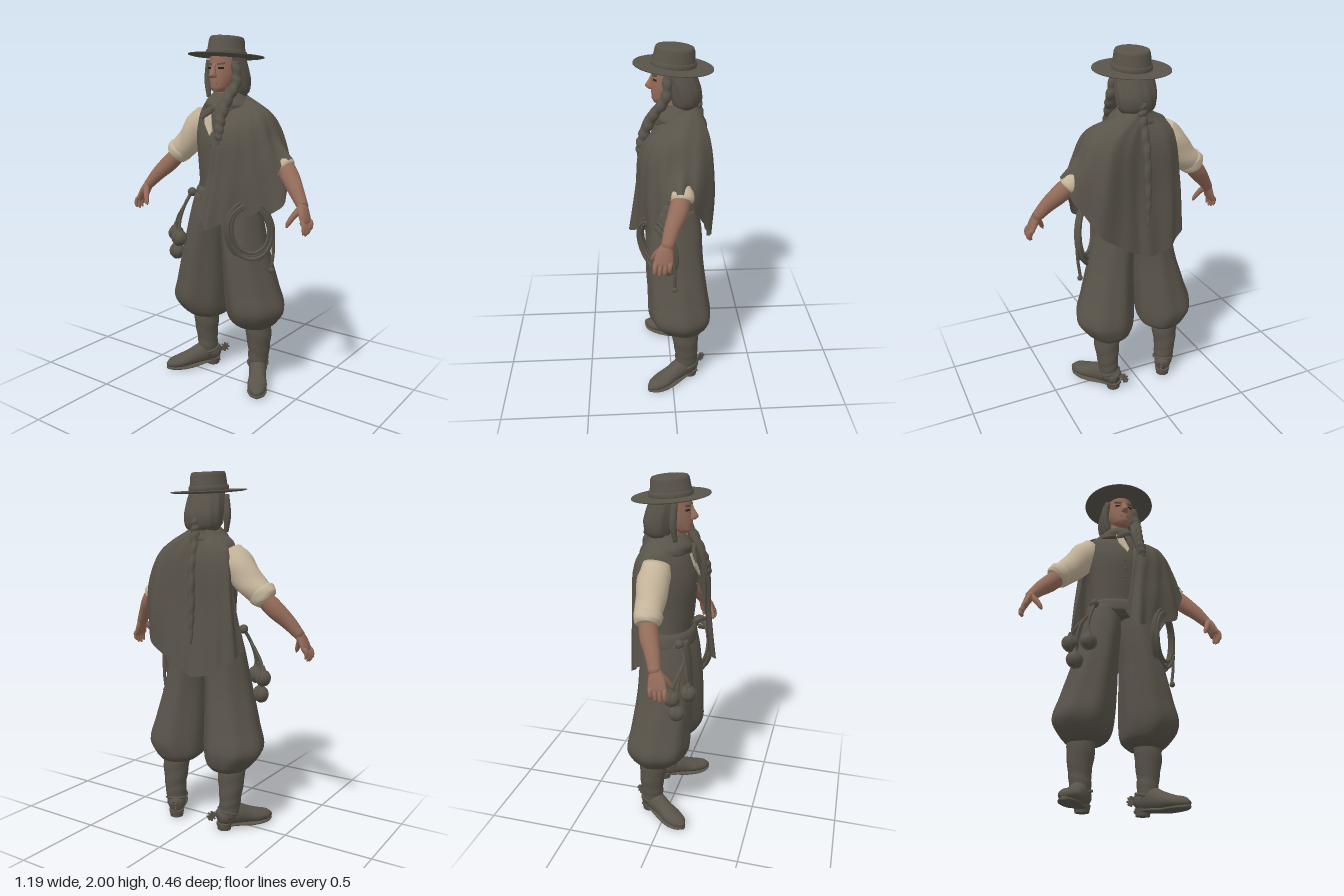
import * as THREE from 'three';

const V = (x, y, z) => new THREE.Vector3(x, y, z);
const mat = (name, color) => Object.assign(new THREE.MeshStandardMaterial({ color }), { name });

export function createModel() {
  const model = new THREE.Group();
  const dark = mat('dark cloth', 0x59544a);
  const skin = mat('skin', 0x946c5a);
  const shirt = mat('linen', 0xc5b59b);
  const black = mat('eye dark', 0x26221e);
  const darkOpen = mat('draped cloth', 0x59544a);
  darkOpen.side = THREE.DoubleSide;

  const add = (name, geo, m = dark, parent = model) => {
    const mesh = new THREE.Mesh(geo, m);
    mesh.name = name;
    parent.add(mesh);
    return mesh;
  };

  // Closed loft through [x, y, z, radiusU, radiusV]; upright keeps the rings level
  function loft(pts, { steps = 5, sides = 24, upright = false, ref = V(0, 0, 1), fold = () => 1 } = {}) {
    const path = new THREE.CatmullRomCurve3(pts.map(p => V(p[0], p[1], p[2])));
    const radii = new THREE.CatmullRomCurve3(pts.map((p, i) => V(p[3], p[4] ?? p[3], i)));
    const n = (pts.length - 1) * steps, pos = [], idx = [];
    for (let i = 0; i <= n; i++) {
      const t = i / n, c = path.getPoint(t), r = radii.getPoint(t);
      const T = upright ? V(0, 1, 0) : path.getTangent(t);
      const u = ref.clone().addScaledVector(T, -ref.dot(T)).normalize(), v = T.clone().cross(u);
      for (let j = 0; j < sides; j++) {
        const a = j / sides * Math.PI * 2, f = fold(a, t);
        const p = c.clone().addScaledVector(u, r.x * f * Math.cos(a)).addScaledVector(v, r.y * f * Math.sin(a));
        pos.push(p.x, p.y, p.z);
        if (i < n) {
          const k = (j + 1) % sides, A = i * sides;
          idx.push(A + j, A + k, A + sides + k, A + j, A + sides + k, A + sides + j);
        }
      }
    }
    const b = pos.length / 3, L = n * sides;
    for (const p of [pts[0], pts[pts.length - 1]]) pos.push(p[0], p[1], p[2]);
    for (let j = 0; j < sides; j++) {
      const k = (j + 1) % sides;
      idx.push(b, k, j, b + 1, L + j, L + k);
    }
    const g = new THREE.BufferGeometry();
    g.setAttribute('position', new THREE.Float32BufferAttribute(pos, 3));
    g.setIndex(idx);
    g.computeVertexNormals();
    return g;
  }
  const tube = (pts, r, closed = false, seg = 32) =>
    new THREE.TubeGeometry(new THREE.CatmullRomCurve3(pts, closed), seg, r, 8, closed);
  const ball = (name, x, y, z, r) => add(name, new THREE.SphereGeometry(r, 16, 12)).position.set(x, y, z);

  // Hat: brim and oval crown, tipped up at the front
  const hat = new THREE.Group();
  hat.name = 'hat';
  hat.position.set(0, 1.886, -0.015);
  hat.rotation.x = -0.088;
  model.add(hat);
  const lathe = pts => new THREE.LatheGeometry(pts.map(p => new THREE.Vector2(...p)), 48);
  add('brim', lathe([[0, -0.006], [0.12, -0.006], [0.19, -0.002], [0.21, 0.003], [0.209, 0.008], [0.18, 0.006], [0.1, 0.008]]), dark, hat);
  add('crown', lathe([[0.106, 0], [0.106, 0.022], [0.101, 0.03], [0.094, 0.09], [0.088, 0.104], [0.08, 0.107], [0, 0.105]]), dark, hat).scale.z = 1.1;
  add('hatBand', lathe([[0.106, 0.006], [0.109, 0.012], [0.108, 0.03], [0.102, 0.034]]), dark, hat).scale.z = 1.1;

  // Head and hair
  add('head', loft([[0, 1.7, 0.058, 0.028, 0.025], [0, 1.722, 0.038, 0.06, 0.048], [0, 1.77, 0, 0.1, 0.07],
    [0, 1.83, -0.015, 0.11, 0.08], [0, 1.9, -0.02, 0.108, 0.08]], { upright: true }), skin);
  add('neck', loft([[0, 1.55, -0.03, 0.07], [0, 1.65, -0.015, 0.058], [0, 1.75, -0.01, 0.056]], { upright: true }), skin);
  add('nose', loft([[0, 1.775, 0.1, 0.018, 0.02], [0, 1.79, 0.108, 0.024, 0.02], [0, 1.82, 0.1, 0.014, 0.012],
    [0, 1.85, 0.09, 0.008, 0.01]], { upright: true, sides: 12 }), skin);
  add('mouth', new THREE.BoxGeometry(0.04, 0.005, 0.008), black).position.set(0, 1.747, 0.092);
  for (const s of [-1, 1]) {
    const eye = add('eye', new THREE.BoxGeometry(0.03, 0.009, 0.008), black);
    eye.position.set(s * 0.037, 1.827, 0.082);
    eye.rotation.y = s * 0.4;
    const brow = add('eyebrow', new THREE.BoxGeometry(0.042, 0.009, 0.009), dark);
    brow.position.set(s * 0.038, 1.85, 0.084);
    brow.rotation.set(0, s * 0.4, s * 0.12);
  }
  add('hair', loft([[0, 1.665, -0.07, 0.06, 0.07], [0, 1.7, -0.075, 0.08, 0.1], [0, 1.76, -0.07, 0.092, 0.112],
    [0, 1.83, -0.05, 0.092, 0.108], [0, 1.9, -0.025, 0.09, 0.095]],
    { upright: true, sides: 56, fold: (a, t) => 1 + 0.025 * Math.cos(12 * a + 5 * t) }));
  const plait = { sides: 12, steps: 12, fold: (a, t) => 0.8 + 0.3 * Math.abs(Math.sin(t * 28 + 0.6 * Math.sin(a))) };
  add('frontBraid', loft([[0.085, 1.86, 0.02, 0.022], [0.1, 1.75, 0.03, 0.027], [0.085, 1.66, 0.09, 0.027],
    [0.075, 1.56, 0.14, 0.028], [0.085, 1.48, 0.165, 0.024], [0.095, 1.42, 0.17, 0.008]], plait));
  add('frontLock', loft([[0.07, 1.72, 0.05, 0.018], [0.055, 1.6, 0.13, 0.022], [0.065, 1.45, 0.168, 0.008]], { sides: 10 }));
  add('rightLock', loft([[-0.085, 1.87, 0.025, 0.018], [-0.098, 1.76, 0.02, 0.02], [-0.085, 1.67, 0.03, 0.012]], { sides: 12 }));
  add('backBraid', loft([[0, 1.74, -0.145, 0.022], [0, 1.66, -0.145, 0.026], [-0.005, 1.5, -0.188, 0.022],
    [-0.01, 1.25, -0.203, 0.018], [-0.01, 1.07, -0.21, 0.006]], plait));

  // Torso: vest, open collar, scarf and sash
  add('vest', loft([[0, 1.07, -0.02, 0.125, 0.18], [0, 1.17, -0.02, 0.125, 0.165], [0, 1.3, -0.02, 0.138, 0.168],
    [0, 1.45, -0.025, 0.15, 0.18], [0, 1.56, -0.04, 0.13, 0.182], [0, 1.62, -0.05, 0.095, 0.165], [0, 1.665, -0.05, 0.07, 0.09]],
    { upright: true, sides: 32 }));
  const opening = new THREE.Shape([[-0.05, 0.06], [-0.038, -0.01], [0.008, -0.075], [0.02, -0.05], [-0.01, 0.06]].map(p => new THREE.Vector2(...p)));
  const collar = add('shirtFront', new THREE.ExtrudeGeometry(opening, { depth: 0.008, bevelEnabled: false }), shirt);
  collar.position.set(-0.005, 1.54, 0.117);
  collar.rotation.x = -0.28;
  for (let i = 0; i < 5; i++) ball('button', -0.005, 1.42 - i * 0.055, 0.127 - i * 0.005, 0.006);
  add('scarf', loft([[0, 1.6, -0.03, 0.125, 0.135], [0, 1.635, -0.03, 0.13, 0.13], [0, 1.67, -0.03, 0.108, 0.1], [0, 1.695, -0.03, 0.08, 0.075]],
    { upright: true, sides: 40, fold: (a, t) => 1 + 0.03 * Math.sin(5 * a + 8 * t) }));
  ball('scarfKnot', 0.012, 1.615, 0.098, 0.026);
  for (const [x, y] of [[-0.055, 1.56], [0.045, 1.49]])
    add('scarfEnd', loft([[0.01, 1.62, 0.1, 0.012, 0.015], [x * 0.6, (1.62 + y) / 2, 0.122, 0.01, 0.02], [x, y, 0.137, 0.005, 0.008]], { sides: 10 }));
  add('sash', loft([[0, 1.08, -0.02, 0.135, 0.19], [0, 1.1, -0.02, 0.148, 0.196], [0, 1.15, -0.02, 0.143, 0.187], [0, 1.17, -0.02, 0.13, 0.175]],
    { upright: true, sides: 32 }));

  // Poncho: columns from the front edge round the left side to the right back edge
  // each column is [shoulder xyz, middle xyz, hem xyz]
  const columns = [
    [0.035, 1.47, 0.15, 0.01, 1.25, 0.17, -0.03, 1.04, 0.2],
    [0.09, 1.49, 0.16, 0.06, 1.25, 0.19, 0.04, 0.965, 0.23],
    [0.16, 1.52, 0.14, 0.16, 1.27, 0.17, 0.14, 1.02, 0.17],
    [0.22, 1.54, 0.1, 0.26, 1.31, 0.13, 0.3, 1.08, 0.12],
    [0.25, 1.57, 0.04, 0.32, 1.42, 0.06, 0.37, 1.27, 0.055],
    [0.26, 1.59, -0.04, 0.33, 1.455, -0.035, 0.415, 1.36, -0.03],
    [0.25, 1.57, -0.12, 0.33, 1.42, -0.12, 0.375, 1.24, -0.1],
    [0.19, 1.55, -0.19, 0.24, 1.3, -0.215, 0.26, 1.05, -0.2],
    [0.1, 1.54, -0.195, 0.11, 1.25, -0.2, 0.1, 0.94, -0.21],
    [0, 1.54, -0.18, 0, 1.25, -0.19, -0.02, 0.89, -0.215],
    [-0.11, 1.55, -0.185, -0.14, 1.25, -0.195, -0.15, 0.92, -0.205],
    [-0.18, 1.57, -0.14, -0.22, 1.3, -0.16, -0.245, 0.99, -0.155],
    [-0.185, 1.615, -0.05, -0.2, 1.38, -0.09, -0.255, 1.03, -0.06]];
  const rows = [0, 1, 2, 3].map(k => new THREE.CatmullRomCurve3(columns.map((c, i) => {
    const a = 0.7 + i / 12 * 3.9;
    return k ? V(...c.slice(k * 3 - 3, k * 3)) : V(0.1 * Math.sin(a), 1.665 - 0.025 * Math.cos(a), -0.04 + 0.1 * Math.cos(a));
  })));
  const NU = 120, NV = 20, pos = [], idx = [];
  for (let i = 0; i <= NU; i++) {
    const u = i / NU, line = new THREE.CatmullRomCurve3(rows.map(r => r.getPoint(u)));
    for (let j = 0; j <= NV; j++) {
      const t = j / NV, p = line.getPoint(t), out = V(p.x, 0, p.z + 0.03).normalize();
      p.addScaledVector(out, 0.007 * t * Math.sin(u * 75 + t * 2));
      pos.push(p.x, p.y, p.z);
      if (i < NU && j < NV) {
        const A = i * (NV + 1) + j, B = A + NV + 1;
        idx.push(A, A + 1, B + 1, A, B + 1, B);
      }
    }
  }
  const drape = new THREE.BufferGeometry();
  drape.setAttribute('position', new THREE.Float32BufferAttribute(pos, 3));
  drape.setIndex(idx);
  drape.computeVertexNormals();
  add('poncho', drape, darkOpen);

  for (const s of [-1, 1]) {
    const side = s > 0 ? 'left' : 'right';
    const m = pts => pts.map(([x, ...r]) => [s * x, ...r]);

    // Arm: sleeve, rolled cuff, forearm and hand; the left sleeve sits under the poncho
    add(side + 'Sleeve', loft(m(s < 0
      ? [[0.16, 1.56, -0.05, 0.072], [0.21, 1.5, -0.05, 0.086], [0.285, 1.405, -0.048, 0.079], [0.365, 1.335, -0.04, 0.068]]
      : [[0.22, 1.48, -0.04, 0.055], [0.29, 1.39, -0.04, 0.055], [0.36, 1.325, -0.04, 0.055]]),
      { fold: (a, t) => 1 + 0.03 * Math.sin(3 * a + 14 * t) }), shirt);
    add(side + 'Cuff', loft(m(s < 0
      ? [[0.335, 1.37, -0.04, 0.06], [0.347, 1.355, -0.04, 0.075], [0.375, 1.328, -0.038, 0.071], [0.388, 1.315, -0.036, 0.055]]
      : [[0.33, 1.345, -0.04, 0.052], [0.345, 1.33, -0.04, 0.062], [0.374, 1.31, -0.036, 0.062], [0.385, 1.3, -0.034, 0.052]]),
      { fold: (a, t) => 1 + 0.03 * Math.sin(4 * a + 9 * t) }), shirt);
    add(side + 'Forearm', loft(m([[0.36, 1.33, -0.04, 0.048], [0.42, 1.265, -0.015, 0.05], [0.48, 1.2, 0.02, 0.041],
      [0.54, 1.125, 0.05, 0.031, 0.028]])), skin);
    add(side + 'Palm', loft(m([[0.53, 1.14, 0.045, 0.03, 0.026], [0.55, 1.1, 0.06, 0.044, 0.022], [0.568, 1.055, 0.068, 0.048, 0.016],
      [0.572, 1.04, 0.07, 0.04, 0.01]])), skin);
    for (let i = 0; i < 4; i++) {
      const z = 0.032 + i * 0.025, drop = [0.02, 0.005, 0, 0.01][i];
      add(side + 'Finger', loft(m([[0.564, 1.06, z, 0.012], [0.58, 1.03 + drop, z + 0.003, 0.012],
        [0.582, 1.0 + drop, z + 0.006, 0.01], [0.576, 0.985 + drop, z + 0.006, 0.004]]), { sides: 10 }), skin);
    }
    add(side + 'Thumb', loft(m([[0.535, 1.12, 0.07, 0.02], [0.51, 1.08, 0.1, 0.016], [0.49, 1.04, 0.118, 0.012],
      [0.483, 1.022, 0.122, 0.004]]), { sides: 10 }), skin);

    // Baggy trouser leg gathered below the knee
    add(side + 'TrouserLeg', loft(m([[0.175, 0.375, -0.075, 0.06, 0.06], [0.175, 0.352, -0.075, 0.092, 0.085], [0.172, 0.385, -0.062, 0.142, 0.132],
      [0.19, 0.47, -0.048, 0.178, 0.166], [0.17, 0.6, -0.035, 0.172, 0.152], [0.138, 0.8, -0.02, 0.16, 0.125],
      [0.106, 1.0, -0.02, 0.148, 0.11], [0.09, 1.13, -0.02, 0.125, 0.095]]),
      { upright: true, sides: 56, fold: (a, t) => 1 + 0.028 * Math.sin(Math.PI * t) * Math.cos(7 * a + s * 2 * t) }));

    // Boot with heel, sole and spur, toes turned out
    add(side + 'BootShaft', loft(m([[0.188, 0.07, -0.085, 0.06, 0.05], [0.188, 0.14, -0.085, 0.065, 0.058], [0.192, 0.2, -0.085, 0.068, 0.062],
      [0.192, 0.3, -0.078, 0.077, 0.075], [0.19, 0.4, -0.075, 0.08, 0.078]]),
      { upright: true, fold: (a, t) => 1 + 0.02 * Math.sin(t * 26 + 2 * Math.sin(a)) }));
    const foot = new THREE.Group();
    foot.name = side + 'Foot';
    foot.position.set(s * 0.187, 0, -0.082);
    foot.rotation.y = s * 0.56;
    model.add(foot);
    const along = { ref: V(0, 1, 0), sides: 24 };
    add('bootFoot', loft([[0, 0.07, -0.075, 0.035, 0.03], [0, 0.078, -0.05, 0.052, 0.048], [0, 0.085, 0.02, 0.064, 0.052],
      [0, 0.066, 0.1, 0.05, 0.05], [0, 0.05, 0.175, 0.038, 0.056], [0, 0.042, 0.235, 0.03, 0.042], [0, 0.036, 0.268, 0.012, 0.015]], along), dark, foot);
    add('sole', loft([[0, 0.024, -0.07, 0.012, 0.035], [0, 0.024, 0.02, 0.012, 0.04], [0, 0.014, 0.11, 0.013, 0.052],
      [0, 0.014, 0.185, 0.013, 0.056], [0, 0.016, 0.24, 0.013, 0.04], [0, 0.02, 0.268, 0.01, 0.014]], along), dark, foot);
    add('heel', new THREE.CylinderGeometry(0.045, 0.038, 0.04, 20), dark, foot).position.set(0, 0.02, -0.035);
    const strap = add('spurStrap', new THREE.TorusGeometry(0.057, 0.008, 8, 28), dark, foot);
    strap.rotation.x = Math.PI / 2 + 0.25;
    strap.position.set(0, 0.105, -0.01);
    add('spurArm', new THREE.BoxGeometry(0.012, 0.012, 0.05), dark, foot).position.set(0, 0.09, -0.09);
    for (let i = 0; i < 4; i++) {
      const spike = add('spurRowel', new THREE.BoxGeometry(0.012, 0.056, 0.01), dark, foot);
      spike.position.set(0, 0.09, -0.115);
      spike.rotation.x = i * Math.PI / 4;
    }
  }

  // Coiled rope on the left hip with its loose end
  for (let k = 0; k < 6; k++) {
    const f = 1.02 - k * 0.045, pts = [];
    for (let i = 0; i < 16; i++) {
      const a = i / 16 * Math.PI * 2;
      pts.push(V(0.228 + 0.092 * f * Math.cos(a) + (k % 3) * 0.008, 0.955 + (k % 2) * 0.012 + 0.168 * f * Math.sin(a),
        0.08 - 0.105 * f * Math.cos(a) + (k % 3) * 0.009 + 0.025 * Math.sin(a + 0.5)));
    }
    add('ropeCoil', tube(pts, 0.01, true, 48));
  }
  add('ropeEnd', tube([V(0.27, 1.1, 0.08), V(0.325, 0.98, 0.01), V(0.33, 0.85, -0.005), V(0.318, 0.74, -0.005)], 0.009));
  ball('ropeKnot', 0.32, 0.73, -0.005, 0.016);
  add('ropeHanger', tube([V(0.15, 1.13, 0.07), V(0.2, 1.14, 0.12), V(0.22, 1.08, 0.13), V(0.17, 1.1, 0.09)], 0.014));

  // Three throwing weights on cords at the right hip
  for (const [x, y, z] of [[-0.305, 0.865, 0.07], [-0.222, 0.862, 0.14], [-0.282, 0.765, 0.09]]) {
    ball('weight', x, y, z, 0.046);
    for (const turn of [0, Math.PI / 2]) {
      const seam = add('weightSeam', new THREE.TorusGeometry(0.046, 0.004, 6, 24));
      seam.position.set(x, y, z);
      seam.rotation.y = turn;
    }
    add('weightNeck', new THREE.CylinderGeometry(0.009, 0.02, 0.03, 10)).position.set(x, y + 0.053, z);
    add('weightCord', tube([V(-0.175, 1.14, 0.07), V(-0.2, 1.06, 0.11), V(x * 0.6 - 0.09, 0.97, z * 0.6 + 0.045), V(x, y + 0.05, z)], 0.009));
  }
  ball('cordKnot', -0.175, 1.13, 0.075, 0.026);

  return model;
}
